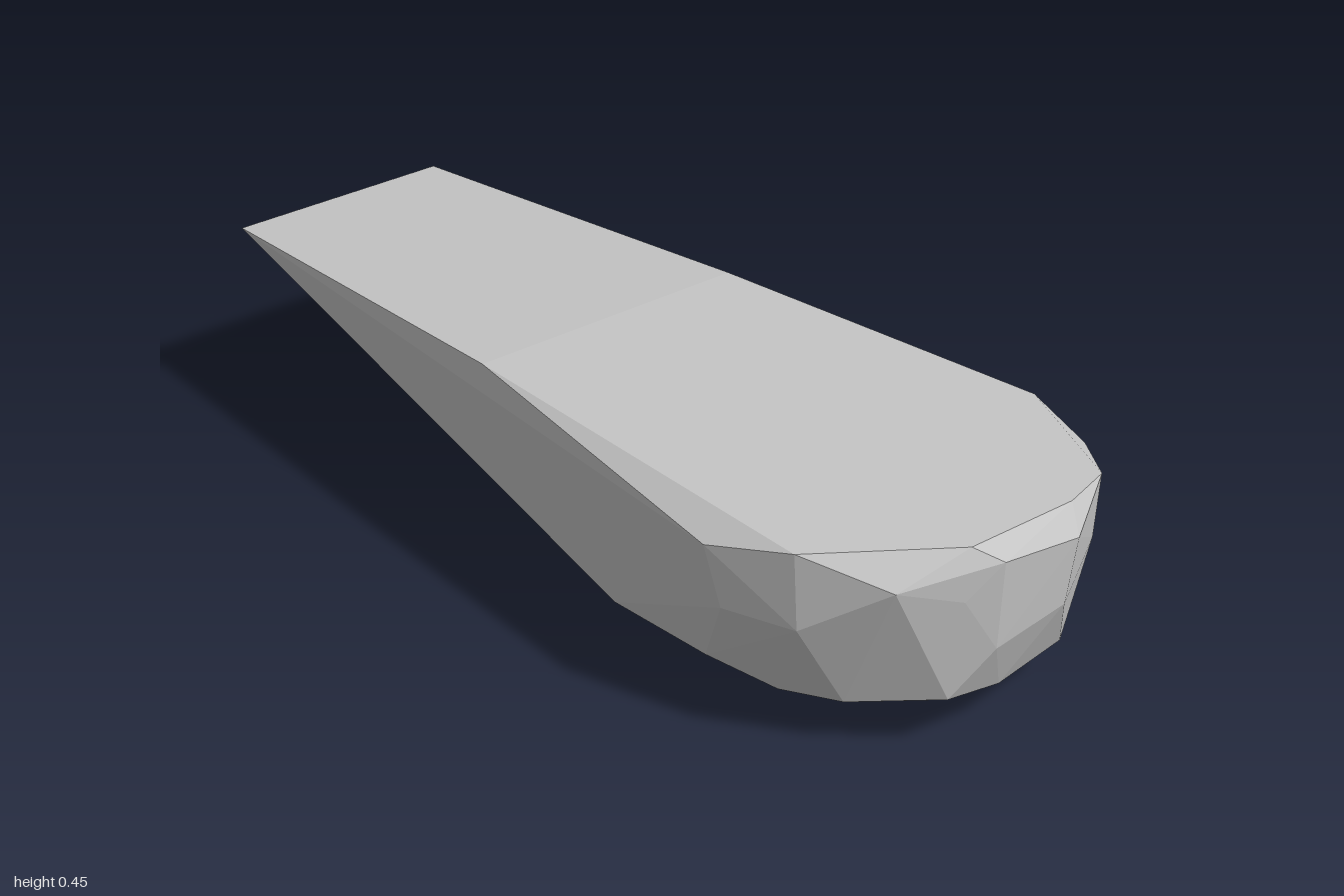
import * as THREE from 'three';
import { ConvexGeometry } from 'three/addons/geometries/ConvexGeometry.js';

// Corner points of the faceted stone, grouped by the band they lie on: [x, y, z]
const bands = {
  thinEnd: [[-1, 0.4, -0.18], [-1, 0.4, 0.32], [-1, 0.385, 0.27], [-1, 0.37, 0.14], [-1, 0.375, 0]],
  top: [[-0.1, 0.45, -0.25], [-0.1, 0.45, 0.37], [0.77, 0.421, 0.36], [0.92, 0.425, -0.25],
    [0.96, 0.43, 0.12], [0.96, 0.43, -0.13]],
  rim: [[0.59, 0.395, -0.42], [0.76, 0.375, -0.38], [1, 0.38, -0.11], [1, 0.4, 0.075],
    [0.92, 0.37, 0.26], [0.6, 0.387, 0.42]],
  sides: [[0.63, 0.265, 0.405], [0.78, 0.27, 0.36], [0.97, 0.33, 0.14], [0.985, 0.215, 0.07],
    [0.985, 0.24, -0.1], [0.9, 0.28, -0.26], [0.62, 0.22, -0.39]],
  lowerEdge: [[0.28, 0.095, 0.36], [0.55, 0.115, 0.37], [0.68, 0.08, 0.31], [0.81, 0.1, 0.27],
    [0.94, 0.115, 0.14], [0.93, 0.086, 0], [0.9, 0.086, -0.19], [0.8, 0.1, -0.29], [0.53, 0.08, -0.32]],
  belly: [[0, 0.072, 0.1], [0.2, 0.035, 0.22], [0.4, 0.01, 0.12], [0.58, 0.002, 0], [0.66, 0.005, 0.1],
    [0.82, 0.036, 0.1], [0.5, 0.02, -0.18], [0.1, 0.06, -0.1], [0.55, 0.035, 0.25], [0.78, 0.03, -0.08]],
};

export function createModel() {
  const group = new THREE.Group();
  group.name = 'stone';
  const grey = new THREE.MeshStandardMaterial({ color: 0xc4c4c4 });
  grey.name = 'stoneGrey';
  grey.flatShading = true;

  // Facets stretched over the bands
  const points = Object.values(bands).flat().map((p) => new THREE.Vector3(...p));
  const geometry = new ConvexGeometry(points);
  geometry.computeBoundingBox();
  geometry.translate(0, -geometry.boundingBox.min.y, 0);
  const rock = new THREE.Mesh(geometry, grey);
  rock.name = 'rock';
  group.add(rock);
  return group;
}
